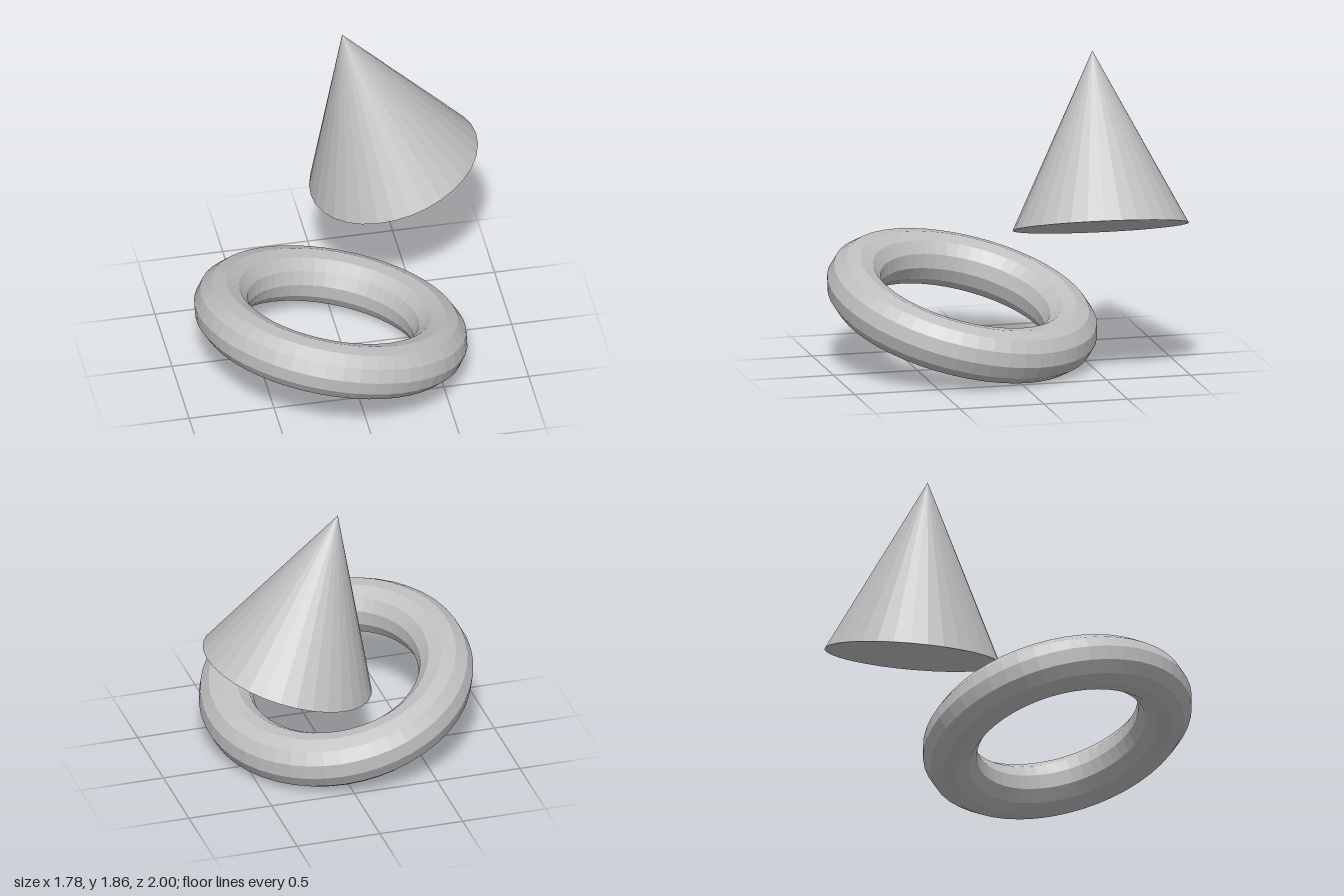
import * as THREE from 'three';

const UP = new THREE.Vector3(0, 1, 0);

// Places a y-aligned geometry at a position with its axis tilted
function addTilted(group, name, geometry, material, position, axis) {
  const mesh = new THREE.Mesh(geometry, material);
  mesh.name = name;
  mesh.position.set(...position);
  mesh.quaternion.setFromUnitVectors(UP, new THREE.Vector3(...axis).normalize());
  group.add(mesh);
}

export function createModel() {
  const group = new THREE.Group();
  group.name = 'coneAndRing';

  const grey = new THREE.MeshStandardMaterial({ color: 0xbfbfbf });
  grey.name = 'plain grey';
  grey.flatShading = true;

  // Ring lying low, tilted down towards +x and -z
  const ring = new THREE.TorusGeometry(0.643, 0.16, 12, 48).rotateX(-Math.PI / 2);
  addTilted(group, 'ring', ring, grey, [-0.107, 0.345, 0.207], [0.22, 0.957, -0.19]);

  // Closed cone floating above, moved so that its base centre is the pivot
  const cone = new THREE.ConeGeometry(0.51, 1.02, 32).translate(0, 0.51, 0);
  addTilted(group, 'cone', cone, grey, [0.403, 0.89, -0.49], [-0.298, 0.975, -0.025]);

  return group;
}
